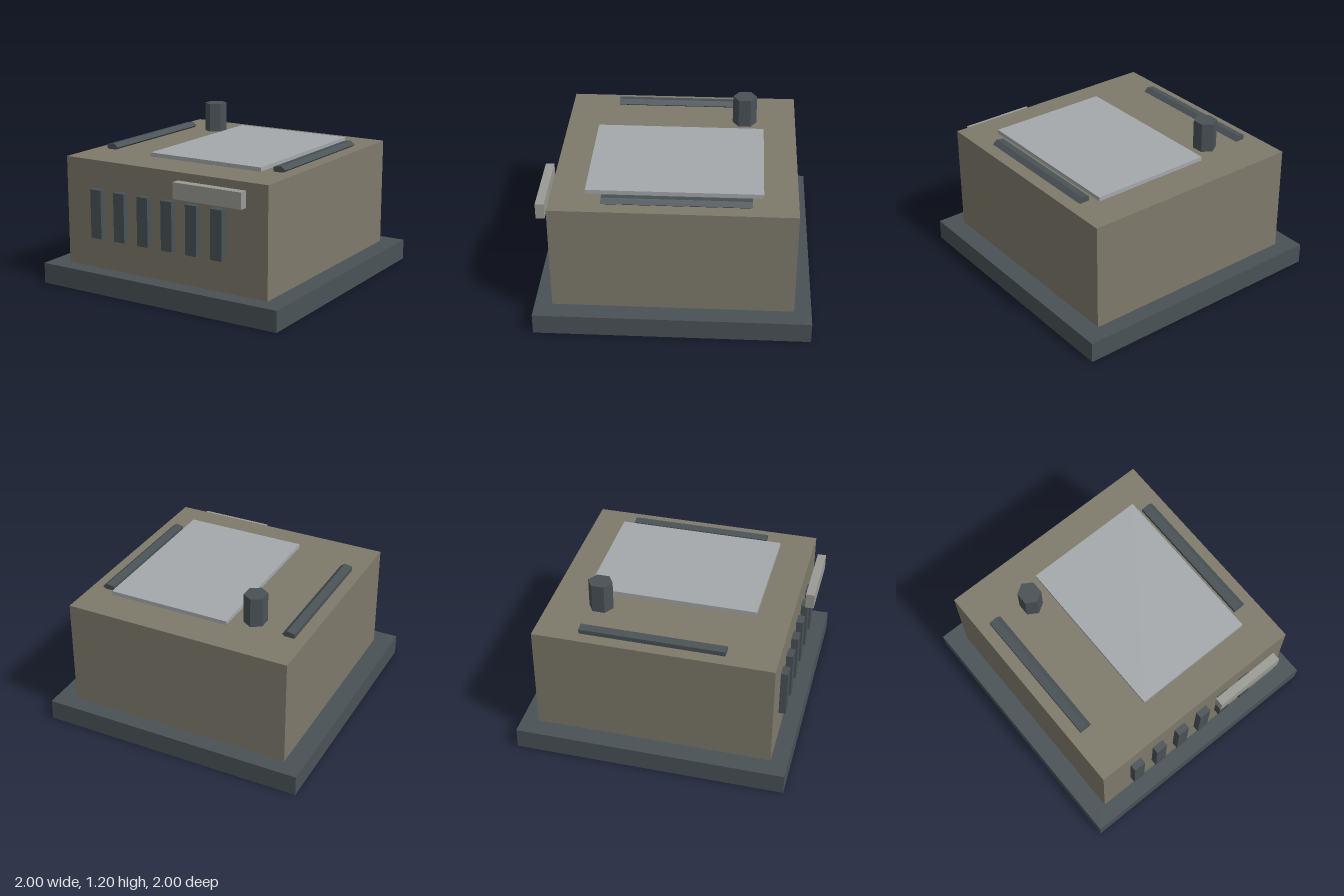
import * as THREE from 'three';

const mat = (color) => new THREE.MeshStandardMaterial({ color, flatShading: true });

export function createModel() {
  const model = new THREE.Group();
  const dark = mat(0x4a5256);
  const wall = mat(0x7e7a6b);
  const pale = mat(0xa5a9ac);
  const signGrey = mat(0x9b9b95);

  const add = (name, geometry, material, x, y, z) => {
    const mesh = new THREE.Mesh(geometry, material);
    mesh.name = name;
    mesh.position.set(x, y, z);
    model.add(mesh);
    return mesh;
  };

  // Box given by its minimum and maximum corners
  const box = (name, material, [x0, y0, z0], [x1, y1, z1]) =>
    add(name, new THREE.BoxGeometry(x1 - x0, y1 - y0, z1 - z0), material,
      (x0 + x1) / 2, (y0 + y1) / 2, (z0 + z1) / 2);

  // Plinth and main block
  box('base', dark, [-1, 0, -1], [1, 0.155, 1]);
  box('body', wall, [-0.855, 0.155, -0.875], [0.855, 0.963, 0.873]);

  // Roof panel and front sign board, both standing slightly clear of the body
  box('roofPanel', pale, [-0.28, 0.98, -0.63], [0.647, 1.01, 0.625]);
  box('signBoard', signGrey, [0.155, 0.797, 0.912], [0.707, 0.915, 0.976]);

  // Row of upright slats on the front
  for (let i = 0; i < 6; i++) {
    const x = -0.56 + i * 0.2065;
    box('frontSlat', dark, [x - 0.046, 0.393, 0.83], [x + 0.046, 0.755, 0.924]);
  }

  // Hexagonal chimney
  const chimney = new THREE.CylinderGeometry(1, 1, 0.222, 6);
  chimney.scale(0.084, 1, 0.091);
  add('chimney', chimney, dark, -0.437, 1.089, -0.484);

  // Flattened five-sided rails along the roof, one corner pointing to +x
  const rail = new THREE.CylinderGeometry(1, 1, 1.058, 5);
  rail.rotateY(Math.PI / 2);
  rail.rotateX(Math.PI / 2);
  rail.scale(0.052, 0.03, 1);
  for (const x of [-0.724, 0.72]) add('roofRail', rail, dark, x, 0.979, -0.024);

  return model;
}
